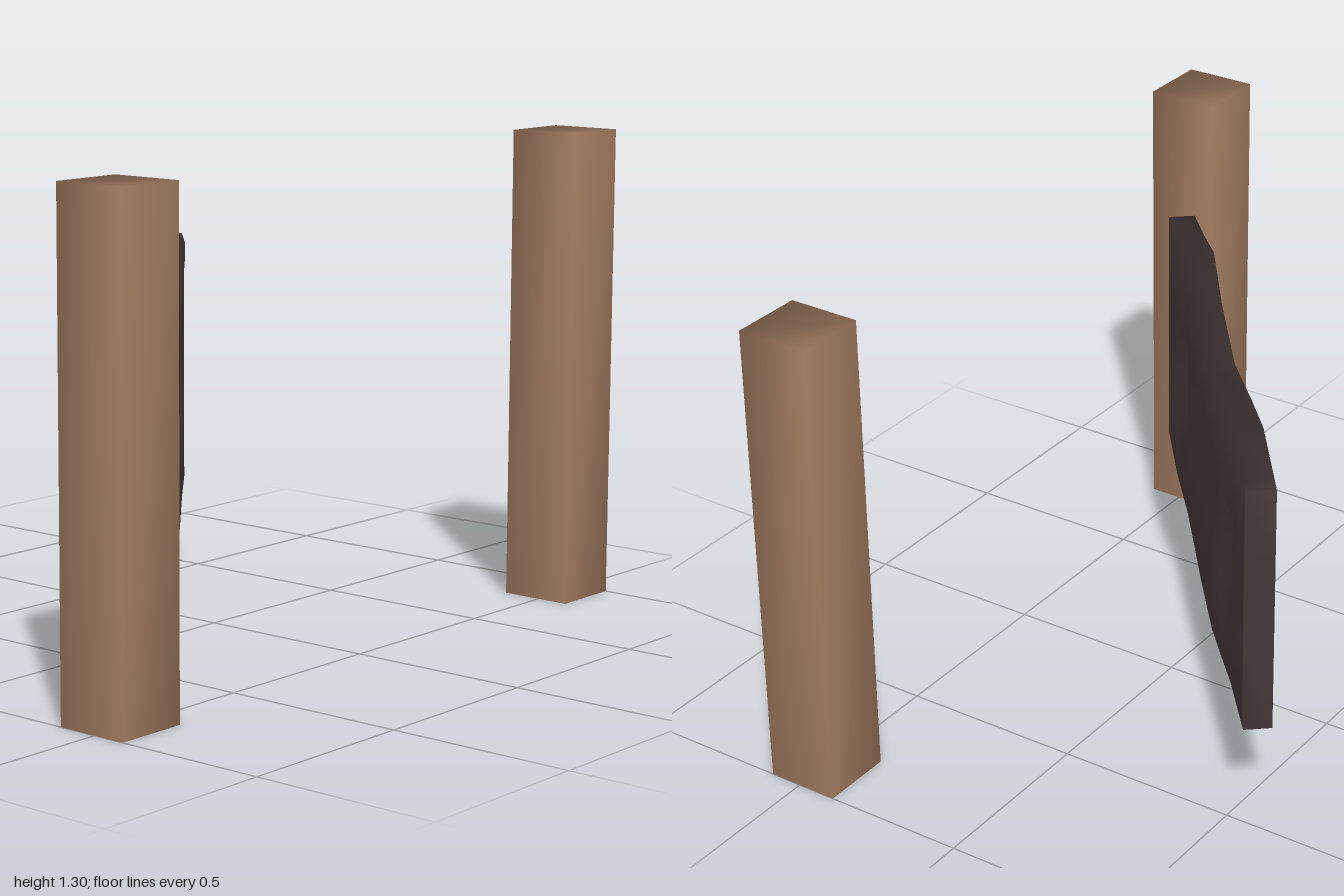
import * as THREE from 'three';
import { mergeVertices } from 'three/addons/utils/BufferGeometryUtils.js';

const postWood = new THREE.MeshStandardMaterial({ color: 0xa47d62 });
postWood.name = 'postWood';
const darkWood = new THREE.MeshStandardMaterial({ color: 0x463939 });
darkWood.name = 'darkWood';

// Square post with shared corners, so its shading is soft
function makePost(name, z) {
  const box = new THREE.BoxGeometry(0.2, 1.3, 0.2);
  box.deleteAttribute('normal');
  box.deleteAttribute('uv');
  const geometry = mergeVertices(box);
  geometry.computeVertexNormals();
  const post = new THREE.Mesh(geometry, postWood);
  post.name = name;
  post.position.set(0.49, 0.65, z);
  return post;
}

// Gate columns: distance along the gate, then heights of the bottom edge,
// opening bottom, opening top and top edge, then sideways bend of the top edge
const columns = [
  [0, 0.262, 0.52, 0.755, 0.955, 0],
  [0.04, 0.26, 0.518, 0.755, 0.963, 0],
  [0.233, 0.252, 0.508, 0.75, 1.0, 0],
  [0.434, 0.212, 0.475, 0.715, 0.97, 0],
  [0.61, 0.183, 0.48, 0.735, 0.985, 0.02],
  [0.83, 0.193, 0.49, 0.76, 1.05, 0.025],
  [1.148, 0.234, 0.505, 0.768, 1.05, 0.005],
  [1.396, 0.222, 0.487, 0.73, 0.985, 0],
  [1.606, 0.25, 0.49, 0.72, 0.95, 0],
];
const openings = [2, 6];

// Slab with two openings, swung open from the front post
function makeGate() {
  const start = new THREE.Vector3(-0.56, 0, -0.4525);
  const along = new THREE.Vector3(0.6446, 0, 0.7645);
  const across = new THREE.Vector3(0.7645, 0, -0.6446);
  const positions = [];
  const index = [];
  for (const side of [-0.0375, 0.0375]) {
    for (const [s, ...rest] of columns) {
      for (let j = 0; j < 4; j++) {
        const p = start.clone().addScaledVector(along, s)
          .addScaledVector(across, side + (j === 3 ? rest[4] : 0));
        positions.push(p.x, rest[j], p.z);
      }
    }
  }
  const backOffset = columns.length * 4;
  const solid = (i, j) => i >= 0 && i < columns.length - 1 && j >= 0 && j < 3
    && !(j === 1 && openings.includes(i));
  const quad = (a, b, c, d) => index.push(a, b, c, a, c, d);

  for (let i = 0; i < columns.length - 1; i++) {
    for (let j = 0; j < 3; j++) {
      if (!solid(i, j)) continue;
      const ring = [i * 4 + j, i * 4 + 4 + j, i * 4 + 5 + j, i * 4 + 1 + j];
      quad(...ring);
      quad(...ring.map((v) => v + backOffset).reverse());
      // Walls wherever the neighbouring cell is empty
      [[0, -1], [1, 0], [0, 1], [-1, 0]].forEach(([di, dj], k) => {
        if (solid(i + di, j + dj)) return;
        const a = ring[k], b = ring[(k + 1) % 4];
        quad(b, a, a + backOffset, b + backOffset);
      });
    }
  }
  const geometry = new THREE.BufferGeometry();
  geometry.setAttribute('position', new THREE.Float32BufferAttribute(positions, 3));
  geometry.setIndex(index);
  geometry.computeVertexNormals();
  const gate = new THREE.Mesh(geometry, darkWood);
  gate.name = 'gate';
  return gate;
}

export function createModel() {
  const model = new THREE.Group();
  model.name = 'openGate';
  model.add(makePost('frontPost', 0.9), makePost('backPost', -0.9), makeGate());
  return model;
}
